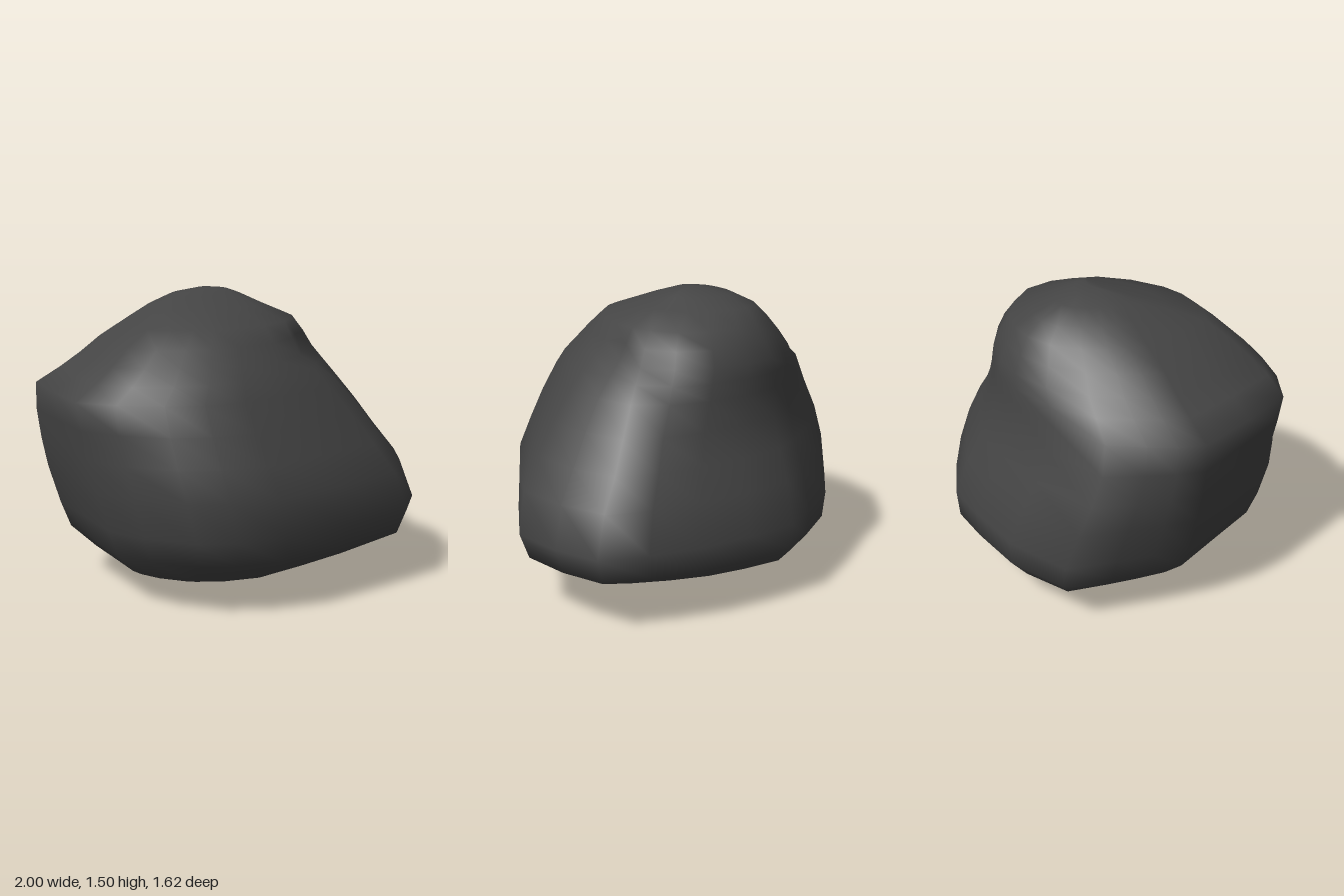
import * as THREE from 'three';

// Unit outlines seen from above, [across, toward front]: the broad base and the crown
const BASE = [
  [1, 0], [0.95, 0.27], [0.84, 0.55], [0.5, 0.77], [0.16, 0.97],
  [-0.1, 1], [-0.33, 0.97], [-0.6, 0.82], [-0.78, 0.65], [-0.88, 0.35],
  [-1, 0], [-0.94, -0.25], [-0.87, -0.5], [-0.76, -0.84], [-0.37, -0.99],
  [0, -1], [0.22, -0.98], [0.45, -0.78], [0.67, -0.55], [0.85, -0.28],
];
const CROWN = [
  [0.98, 0.05], [0.93, 0.28], [0.8, 0.52], [0.5, 0.77], [0.16, 0.95],
  [-0.1, 1], [-0.33, 0.99], [-0.6, 0.95], [-0.85, 0.82], [-0.94, 0.42],
  [-1, 0], [-0.93, -0.22], [-0.8, -0.42], [-0.62, -0.66], [-0.32, -0.9],
  [0, -1], [0.25, -0.98], [0.52, -0.86], [0.77, -0.62], [0.95, -0.3],
];

// Height, then the reach to -x, +x, back and front
const RINGS = [
  [0.025, -0.44, -0.03, -0.36, 0.2],
  [0.08, -0.61, 0.25, -0.52, 0.36],
  [0.15, -0.71, 0.63, -0.7, 0.59],
  [0.27, -0.84, 0.95, -0.8, 0.74],
  [0.4, -0.89, 1.0, -0.81, 0.79],
  [0.6, -0.95, 0.92, -0.76, 0.81],
  [0.75, -0.98, 0.8, -0.7, 0.765],
  [0.9, -1.0, 0.69, -0.65, 0.715],
  [1.04, -1.0, 0.58, -0.64, 0.655],
  [1.12, -0.87, 0.52, -0.63, 0.6],
  [1.19, -0.77, 0.47, -0.62, 0.53],
  [1.27, -0.67, 0.42, -0.58, 0.45],
  [1.35, -0.54, 0.35, -0.53, 0.36],
  [1.42, -0.42, 0.18, -0.46, 0.16],
  [1.47, -0.31, 0.07, -0.34, 0.0],
  [1.495, -0.16, 0.0, -0.23, -0.1],
];

// Scooped hollow high on the +x side
const HOLLOW = new THREE.Vector3(0.4, 1.2, 0.1);

function boulderGeometry() {
  const n = BASE.length;
  const positions = [];
  const indices = [];

  for (const [y, xMin, xMax, zMin, zMax] of RINGS) {
    const cx = (xMin + xMax) / 4 - 0.08;
    const cz = Math.min(-0.12, (zMin + zMax) / 2 + 0.05);
    const blend = THREE.MathUtils.smoothstep(y, 0.7, 1.3);
    for (let i = 0; i < n; i++) {
      const u = THREE.MathUtils.lerp(BASE[i][0], CROWN[i][0], blend);
      const v = THREE.MathUtils.lerp(BASE[i][1], CROWN[i][1], blend);
      const p = new THREE.Vector3(
        cx + u * (u > 0 ? xMax - cx : cx - xMin),
        y,
        cz + v * (v > 0 ? zMax - cz : cz - zMin)
      );
      const d = p.distanceTo(HOLLOW) / 0.15;
      p.x -= 0.09 * Math.exp(-d * d);
      positions.push(p.x, p.y, p.z);
    }
  }

  // Sides
  for (let j = 0; j < RINGS.length - 1; j++) {
    for (let i = 0; i < n; i++) {
      const k = (i + 1) % n;
      const a = j * n + i, b = a + n, c = (j + 1) * n + k, d = j * n + k;
      indices.push(a, b, c, a, c, d);
    }
  }

  // Closed underside and crown
  const bottom = positions.length / 3;
  positions.push(-0.3, 0, -0.08, -0.1, 1.503, -0.15);
  const last = (RINGS.length - 1) * n;
  for (let i = 0; i < n; i++) {
    const k = (i + 1) % n;
    indices.push(bottom, i, k, bottom + 1, last + k, last + i);
  }

  const geometry = new THREE.BufferGeometry();
  geometry.setAttribute('position', new THREE.Float32BufferAttribute(positions, 3));
  geometry.setIndex(indices);
  geometry.computeVertexNormals();
  return geometry;
}

export function createModel() {
  const stone = new THREE.MeshStandardMaterial({ color: 0x454545 });
  stone.name = 'darkStone';

  const boulder = new THREE.Mesh(boulderGeometry(), stone);
  boulder.name = 'boulder';

  const group = new THREE.Group();
  group.name = 'rock';
  group.add(boulder);
  return group;
}
